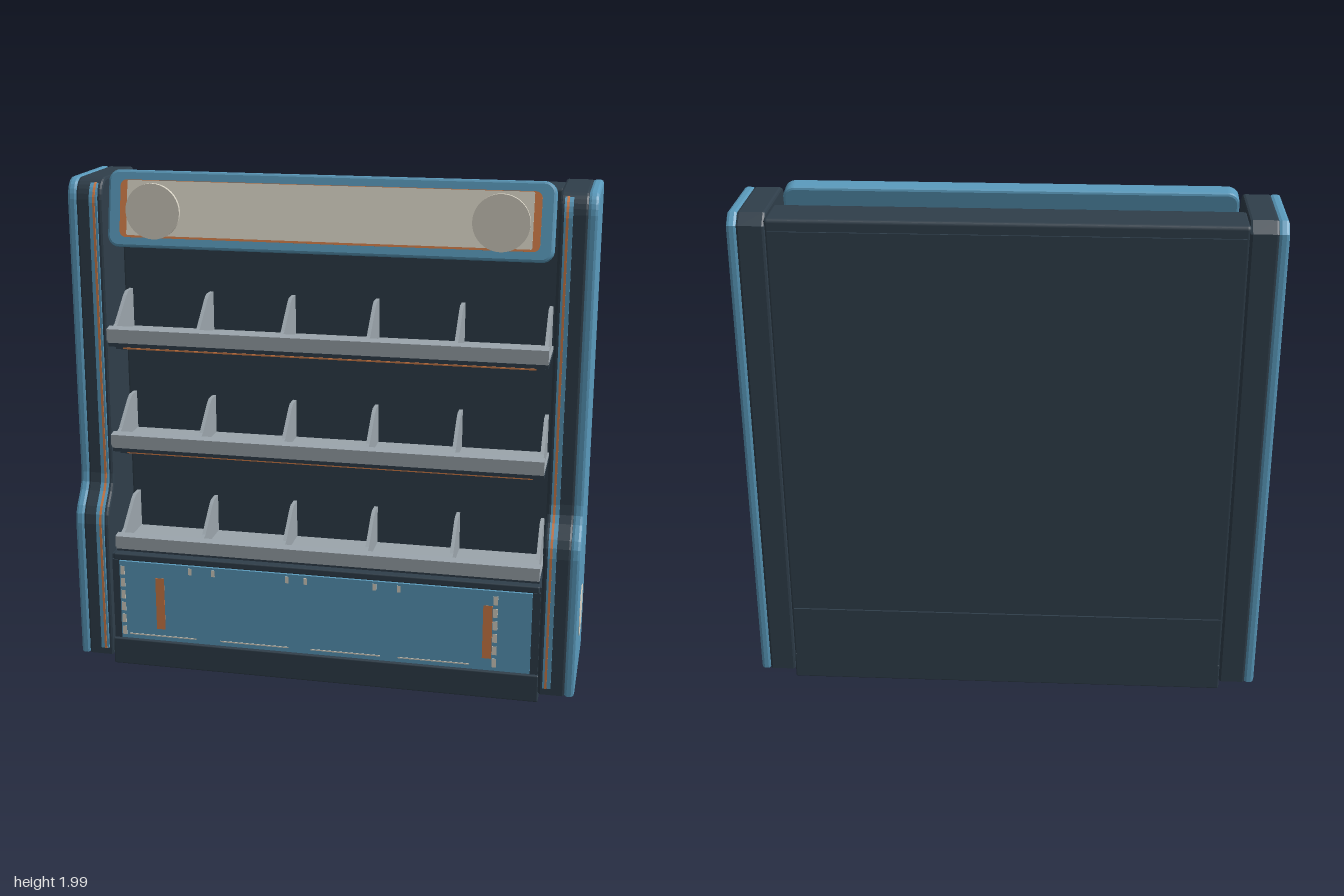
import * as THREE from 'three';
import { RoundedBoxGeometry } from 'three/addons/geometries/RoundedBoxGeometry.js';

const mat = (name, color) => {
  const m = new THREE.MeshStandardMaterial({ color });
  m.name = name;
  return m;
};

export function createModel() {
  const blue = mat('blue', 0x5a9abc);
  const dark = mat('dark slate', 0x2f3e4a);
  const grey = mat('shelf grey', 0x9ba5ac);
  const beige = mat('beige', 0xd9d4c6);
  const orange = mat('orange', 0xd07c48);

  const root = new THREE.Group();
  root.name = 'displayShelf';

  const add = (parent, name, geometry, material) => {
    const m = new THREE.Mesh(geometry, material);
    m.name = name;
    parent.add(m);
    return m;
  };

  // box given by its limits, optionally with rounded edges
  const box = (parent, name, material, x0, x1, y0, y1, z0, z1, r = 0) => {
    const size = [x1 - x0, y1 - y0, z1 - z0];
    const g = r ? new RoundedBoxGeometry(...size, 2, r) : new THREE.BoxGeometry(...size);
    g.translate((x0 + x1) / 2, (y0 + y1) / 2, (z0 + z1) / 2);
    return add(parent, name, g, material);
  };

  // (z, y) outline extruded across x from x0 to x1
  const slab = (shape, x0, x1, bevel = 0) => {
    const g = new THREE.ExtrudeGeometry(shape, {
      depth: x1 - x0 - 2 * bevel, bevelEnabled: bevel > 0,
      bevelThickness: bevel, bevelSize: bevel, bevelOffset: -bevel, bevelSegments: 2, curveSegments: 6,
    });
    return g.rotateY(-Math.PI / 2).translate(x1 - bevel, 0, 0);
  };
  const poly = (pts) => new THREE.Shape(pts.map(([z, y]) => new THREE.Vector2(z, y)));

  const roundedRect = (w, h, r) => {
    const s = new THREE.Shape();
    const a = w / 2 - r, b = h / 2 - r;
    s.absarc(a, b, r, 0, Math.PI / 2);
    s.absarc(-a, b, r, Math.PI / 2, Math.PI);
    s.absarc(-a, -b, r, Math.PI, Math.PI * 1.5);
    s.absarc(a, -b, r, Math.PI * 1.5, Math.PI * 2);
    return s;
  };

  // side wall outline: deep foot, S-curved step, rounded top
  const sideShape = () => {
    const s = new THREE.Shape();
    s.moveTo(-0.25, 0.04);
    s.lineTo(0.243, 0.04);
    s.lineTo(0.243, 0.6);
    s.bezierCurveTo(0.243, 0.69, 0.16, 0.7, 0.16, 0.79);
    s.lineTo(0.16, 1.88);
    s.quadraticCurveTo(0.155, 1.95, 0.1, 1.96);
    s.lineTo(-0.21, 1.96);
    s.lineTo(-0.25, 1.92);
    return s;
  };

  // thin band that follows the front edge of a side wall
  const trimShape = (out) => {
    const s = new THREE.Shape();
    s.moveTo(0.22, 0.07);
    s.lineTo(0.243 + out, 0.07);
    s.lineTo(0.243 + out, 0.605);
    s.bezierCurveTo(0.243 + out, 0.695, 0.16 + out, 0.705, 0.16 + out, 0.79);
    s.lineTo(0.16 + out, 1.87);
    s.quadraticCurveTo(0.155 + out, 1.94, 0.11, 1.955);
    s.lineTo(0.11, 0.79);
    s.lineTo(0.22, 0.6);
    return s;
  };

  // side walls
  for (const side of [1, -1]) {
    const g = new THREE.Group();
    g.name = side > 0 ? 'leftSide' : 'rightSide';
    root.add(g);
    const span = (a, b) => (side > 0 ? [a, b] : [-b, -a]);
    add(g, 'outerPanel', slab(sideShape(), ...span(0.958, 0.998), 0.012), blue);
    add(g, 'innerPanel', slab(sideShape(), ...span(0.858, 0.963), 0.01), dark);
    add(g, 'frontTrim', slab(trimShape(0.008), ...span(0.876, 0.908)), blue);
    add(g, 'trimLine', slab(trimShape(0.011), ...span(0.884, 0.893)), orange);
    const disc = new THREE.CylinderGeometry(0.102, 0.102, 0.004, 40).rotateZ(Math.PI / 2);
    add(g, 'sideDisc', disc, beige).position.set(side * 0.998, 0.3, -0.005);
  }

  // back body, plinth and rear cover plates
  box(root, 'backBody', dark, -0.865, 0.865, 0.08, 1.945, -0.243, -0.06, 0.015);
  box(root, 'plinth', dark, -0.86, 0.86, 0, 0.112, -0.245, 0.237, 0.006);
  box(root, 'upperBackPlate', dark, -0.85, 0.85, 0.335, 1.9, -0.25, -0.242);
  box(root, 'lowerBackPlate', dark, -0.85, 0.85, 0.08, 0.327, -0.25, -0.242);

  // lower cabinet with its front panel
  const cabinet = new THREE.Group();
  cabinet.name = 'cabinet';
  root.add(cabinet);
  box(cabinet, 'cabinetBody', dark, -0.86, 0.86, 0.1, 0.47, -0.07, 0.215);
  box(cabinet, 'counterEdge', dark, -0.85, 0.85, 0.447, 0.475, 0.15, 0.224, 0.006);
  box(cabinet, 'frontPanel', blue, -0.825, 0.825, 0.115, 0.447, 0.2, 0.23);
  for (const s of [1, -1]) {
    box(cabinet, 'panelPost', dark, s * 0.84 - 0.015, s * 0.84 + 0.015, 0.11, 0.45, 0.2, 0.226);
    box(cabinet, 'panelAccent', orange, s * 0.657 - 0.018, s * 0.657 + 0.018, 0.165, 0.385, 0.229, 0.232);
  }
  for (let i = 0; i < 6; i++) {
    const y = 0.13 + i * 0.052;
    box(cabinet, 'panelDash', beige, -0.82, -0.803, y, y + 0.036, 0.229, 0.232);
    box(cabinet, 'panelDash', beige, 0.677, 0.695, y, y + 0.036, 0.229, 0.232);
  }
  for (const x of [-0.53, -0.435, -0.135, -0.06, 0.215, 0.31]) {
    box(cabinet, 'panelTick', beige, x - 0.007, x + 0.007, 0.41, 0.437, 0.229, 0.232);
  }
  for (const x of [-0.65, -0.27, 0.1, 0.45]) {
    box(cabinet, 'panelUnderline', beige, x - 0.14, x + 0.14, 0.132, 0.137, 0.229, 0.232);
  }

  // three trays with lips and dividers
  [1.335, 0.91, 0.485].forEach((b, i) => {
    const tray = new THREE.Group();
    tray.name = 'tray' + (i + 1);
    tray.position.y = b;
    root.add(tray);
    box(tray, 'trayFloor', grey, -0.846, 0.846, 0, 0.012, -0.062, 0.175);
    const lip = poly([[0.165, 0], [0.195, 0], [0.195, 0.012], [0.205, 0.012],
      [0.205, 0.056], [0.17, 0.062], [0.165, 0.05]]);
    add(tray, 'trayLip', slab(lip, -0.846, 0.846), grey);
    box(tray, 'trayBoard', dark, -0.846, 0.846, -0.016, 0, -0.062, 0.19);
    box(tray, 'trayRail', dark, -0.83, 0.83, -0.035, -0.014, -0.062, 0.15);
    if (i < 2) box(tray, 'railLine', orange, -0.8, 0.8, -0.033, -0.027, 0.149, 0.153);
    const divider = poly([[-0.06, 0.01], [0.168, 0.01], [0.168, 0.05], [0.13, 0.062],
      [0.02, 0.152], [-0.005, 0.165], [-0.06, 0.165]]);
    for (let k = 0; k < 6; k++) {
      const x = -0.832 + k * 0.3328;
      add(tray, 'divider', slab(divider, x - 0.007, x + 0.007), grey);
    }
  });

  // tilted header sign
  const sign = new THREE.Group();
  sign.name = 'headerSign';
  sign.position.set(0, 1.848, 0.133);
  sign.rotation.x = -0.19;
  root.add(sign);
  const frame = new THREE.ExtrudeGeometry(roundedRect(1.69, 0.292, 0.045), {
    depth: 0.05, bevelThickness: 0.01, bevelSize: 0.01, bevelOffset: -0.01, bevelSegments: 2, curveSegments: 6,
  });
  add(sign, 'signFrame', frame.translate(0, 0, -0.06), blue);
  const plate = (name, w, h, r, y, z, m) => add(sign, name,
    new THREE.ExtrudeGeometry(roundedRect(w, h, r), { depth: 0.004, bevelEnabled: false, curveSegments: 6 }).translate(0, y, z), m);
  plate('signBorder', 1.59, 0.217, 0.025, 0, -0.001, orange);
  plate('signFace', 1.535, 0.207, 0.006, 0.003, 0.001, beige);

  // round badges in front of the sign
  for (const s of [1, -1]) {
    const g = new THREE.CylinderGeometry(0.105, 0.105, 0.014, 40).rotateX(Math.PI / 2);
    add(root, 'signBadge', g, beige).position.set(s * 0.655, 1.845, 0.168);
  }

  return root;
}
